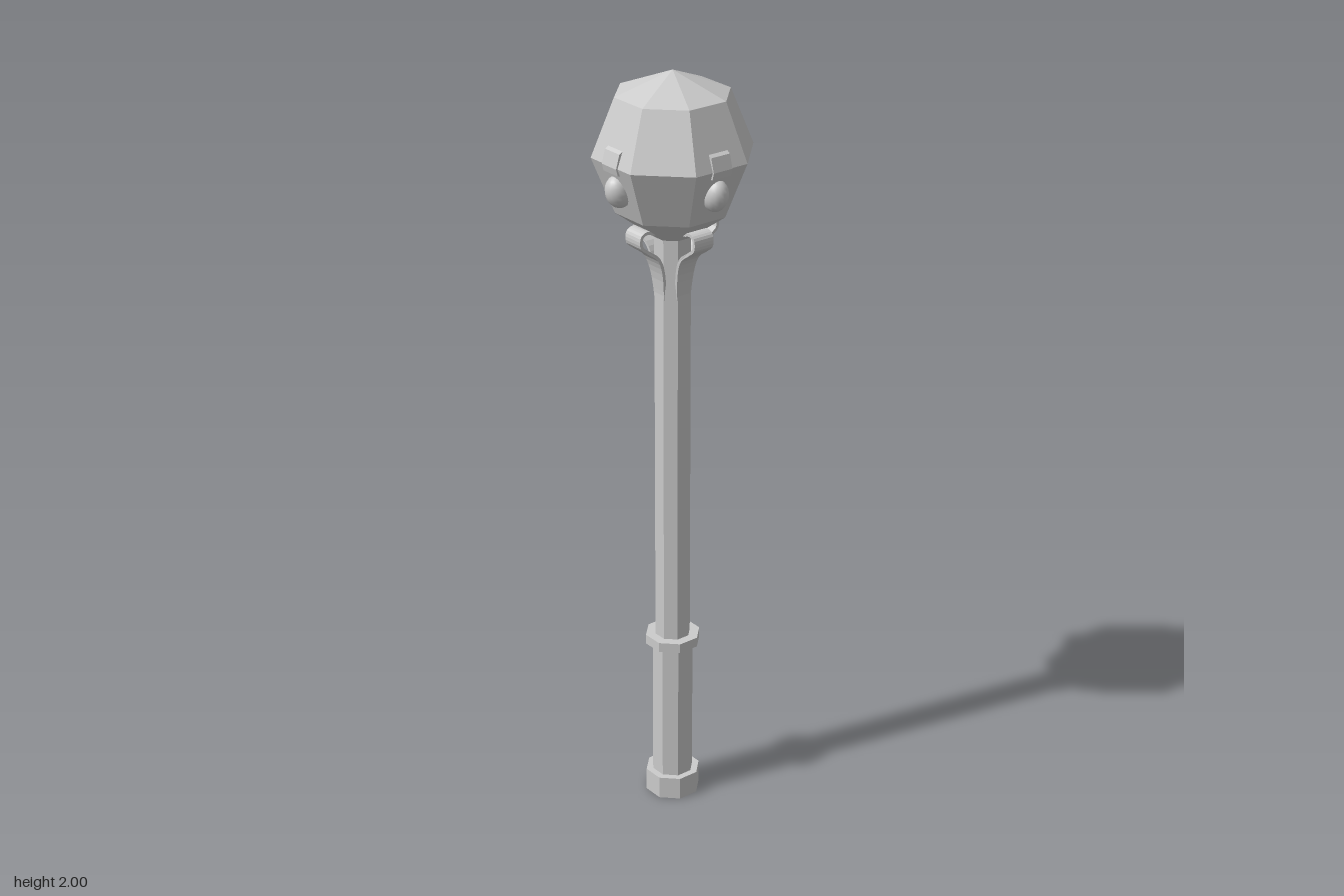
import * as THREE from 'three';

const flat = new THREE.MeshStandardMaterial({ color: 0xcccccc, flatShading: true });
const smooth = new THREE.MeshStandardMaterial({ color: 0xcccccc });
const v2 = (p) => new THREE.Vector2(p[0], p[1]);

function mesh(name, geometry, material) {
  const m = new THREE.Mesh(geometry, material);
  m.name = name;
  return m;
}

// Eight-sided turned part; radii are measured to the middle of a side
function octagonal(name, profile) {
  const k = 1 / Math.cos(Math.PI / 8);
  const points = profile.map(([r, y]) => new THREE.Vector2(r * k, y));
  return mesh(name, new THREE.LatheGeometry(points, 8, Math.PI / 8), flat);
}

const drum = (name, r, y0, y1) => octagonal(name, [[0, y0], [r, y0], [r, y1], [0, y1]]);

// Side profile extruded evenly about z = 0
function slab(points, width) {
  const g = new THREE.ExtrudeGeometry(new THREE.Shape(points), { depth: width, bevelEnabled: false });
  return g.translate(0, 0, -width / 2);
}

// Curled strap: a thin ribbon that narrows towards the shaft
function strapGeometry() {
  const path = [[0.036, 1.405], [0.045, 1.49], [0.063, 1.541], [0.095, 1.567], [0.116, 1.585],
    [0.116, 1.61], [0.1, 1.619], [0.08, 1.614], [0.045, 1.608]].map(v2);
  const curve = new THREE.SplineCurve(path);
  const outer = [], inner = [], n = 28;
  for (let i = 0; i <= n; i++) {
    const p = curve.getPoint(i / n), t = curve.getTangent(i / n);
    const normal = new THREE.Vector2(t.y, -t.x).multiplyScalar(0.004);
    outer.push(p.clone().add(normal));
    inner.unshift(p.clone().sub(normal));
  }
  const g = slab([...outer, ...inner], 0.058);
  const pos = g.attributes.position;
  for (let i = 0; i < pos.count; i++) {
    const t = THREE.MathUtils.smoothstep(pos.getY(i), 1.405, 1.57);
    pos.setZ(i, pos.getZ(i) * (0.65 + 0.35 * t));
  }
  g.computeVertexNormals();
  return g;
}

export function createModel() {
  const model = new THREE.Group();
  model.name = 'mace';

  // Handle
  model.add(drum('pommel', 0.067, 0, 0.062));
  model.add(drum('grip', 0.05, 0.05, 0.46));
  model.add(drum('gripRing', 0.067, 0.45, 0.476));
  model.add(drum('shaft', 0.043, 0.46, 1.62));

  // Faceted head
  model.add(octagonal('head', [[0, 1.585], [0.045, 1.585], [0.085, 1.617], [0.133, 1.655],
    [0.187, 1.8], [0.133, 1.944], [0, 2]]));

  // Four sets of strap, stud and clasp around the head
  const strap = strapGeometry();
  const clasp = slab([[0.16, 1.78], [0.186, 1.782], [0.191, 1.8], [0.181, 1.835], [0.165, 1.845]].map(v2), 0.056);
  const gem = new THREE.SphereGeometry(1, 16, 12).scale(0.034, 0.042, 0.031);
  for (let i = 0; i < 4; i++) {
    const side = new THREE.Group();
    side.name = 'ornament' + (i + 1);
    const stud = mesh('stud', gem, smooth);
    stud.position.set(0.163, 1.732, 0);
    stud.rotation.z = -0.3;
    side.add(mesh('strap', strap, flat), mesh('clasp', clasp, flat), stud);
    side.rotation.y = i * Math.PI / 2;
    model.add(side);
  }
  return model;
}
